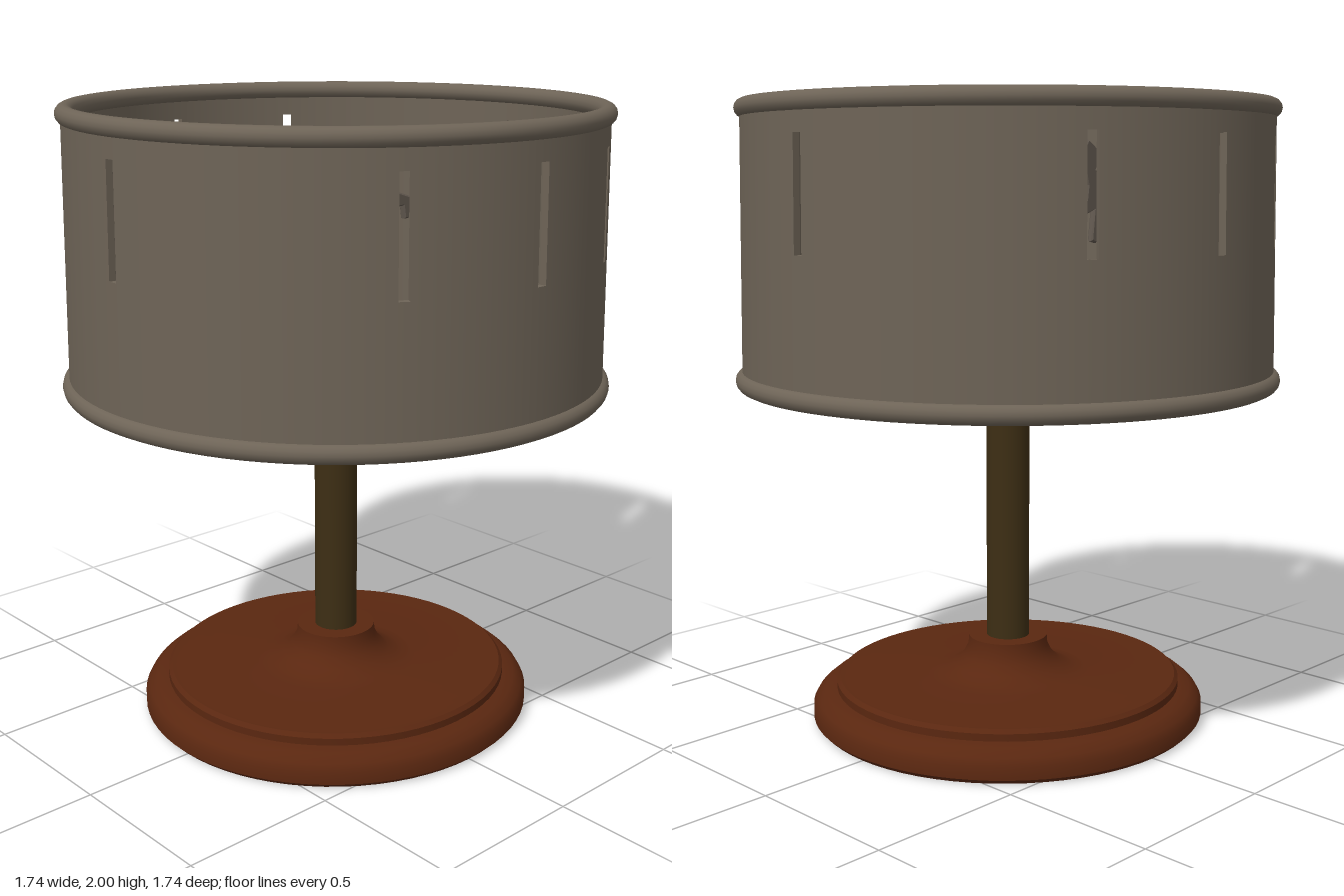
import * as THREE from 'three';
import { toCreasedNormals } from 'three/addons/utils/BufferGeometryUtils.js';

const material = (name, color, side = THREE.FrontSide) => {
  const m = new THREE.MeshStandardMaterial({ color, side });
  m.name = name;
  return m;
};

// Box bent round the y axis: x becomes the angle, z the wall thickness
function bentPanel(a0, a1, y0, y1, radiusAt, thickness) {
  const n = Math.max(1, Math.ceil((a1 - a0) / 0.05));
  const g = new THREE.BoxGeometry(a1 - a0, y1 - y0, thickness, n, 1, 1);
  const p = g.attributes.position, nor = g.attributes.normal;
  const axis = new THREE.Vector3(0, 1, 0), v = new THREE.Vector3();
  for (let i = 0; i < p.count; i++) {
    const a = p.getX(i) + (a0 + a1) / 2;
    const y = p.getY(i) + (y0 + y1) / 2;
    const r = radiusAt(y) - thickness / 2 + p.getZ(i);
    p.setXYZ(i, Math.sin(a) * r, y, Math.cos(a) * r);
    v.fromBufferAttribute(nor, i).applyAxisAngle(axis, a);
    nor.setXYZ(i, v.x, v.y, v.z);
  }
  return g;
}

// Animal outlines in a unit box, facing +x
const WALKING = [
  [0, 0.42], [0.05, 0.62], [0.16, 0.74], [0.32, 0.72], [0.48, 0.71], [0.58, 0.84], [0.7, 0.94], [0.8, 1],
  [0.85, 0.92], [0.93, 0.82], [1, 0.7], [0.95, 0.64], [0.84, 0.7], [0.8, 0.56], [0.82, 0.42], [0.95, 0.3],
  [0.9, 0.08], [0.84, 0.1], [0.84, 0.27], [0.7, 0.32], [0.74, 0.02], [0.66, 0], [0.6, 0.34], [0.42, 0.36],
  [0.3, 0.34], [0.22, 0.22], [0.3, 0.03], [0.2, 0.01], [0.12, 0.22], [0.14, 0.42], [0.09, 0.52], [0.06, 0.35],
];
const REARING = [
  [0, 0.42], [0.1, 0.4], [0.2, 0.47], [0.3, 0.5], [0.32, 0.68], [0.26, 0.78], [0.34, 0.94], [0.5, 1],
  [0.68, 0.97], [0.82, 0.88], [0.92, 0.74], [0.84, 0.7], [0.74, 0.74], [0.72, 0.6], [0.8, 0.46], [0.98, 0.4],
  [0.96, 0.2], [0.9, 0.2], [0.88, 0.32], [0.72, 0.32], [0.7, 0.18], [0.8, 0.02], [0.7, 0], [0.6, 0.16],
  [0.56, 0.3], [0.44, 0.22], [0.46, 0.03], [0.36, 0.02], [0.32, 0.2], [0.34, 0.38], [0.2, 0.36], [0.08, 0.32],
];

function cutout(points, x0, x1, flip) {
  const pts = points.map(([u, v]) => new THREE.Vector2(
    x0 + (flip ? 1 - u : u) * (x1 - x0), 1.54 + v * 0.35));
  const g = new THREE.ExtrudeGeometry(new THREE.Shape(pts), {
    depth: 0.012, bevelEnabled: true, bevelThickness: 0.006, bevelSize: 0.005, bevelOffset: -0.005, bevelSegments: 1,
  });
  return g.translate(0, 0, -0.006);
}

export function createModel() {
  const group = new THREE.Group();
  const tin = material('aged tin', 0x6e6457);
  const card = material('tan floor', 0x8e806c);
  const figure = material('figure grey', 0x625950);
  const brass = material('dark brass', 0x3d2e14);
  const wood = material('red brown wood', 0x5a2710);
  const add = (name, geometry, mat, parent = group) => {
    const m = new THREE.Mesh(geometry, mat);
    m.name = name;
    parent.add(m);
    return m;
  };
  const lathe = (pts, angle = 0.6) => toCreasedNormals(
    new THREE.LatheGeometry(pts.map(([x, y]) => new THREE.Vector2(x, y)), 72), angle);

  // Turned base with a flared collar
  const base = add('base', lathe([
    [0, 0], [0.635, 0], [0.65, 0.015], [0.65, 0.055], [0.637, 0.078], [0.61, 0.1], [0.572, 0.105],
    [0.572, 0.128], [0.56, 0.14], [0.27, 0.14], [0.225, 0.148], [0.18, 0.168], [0.15, 0.196],
    [0.133, 0.23], [0.13, 0.262], [0, 0.262],
  ]), wood);
  base.scale.z = 0.98;

  // Pole and the flange beneath the drum
  add('pole', new THREE.CylinderGeometry(0.07, 0.07, 0.87, 40).translate(0, 0.685, 0), brass);
  add('flange', new THREE.CylinderGeometry(0.14, 0.14, 0.008, 40).translate(0, 1.102, 0), brass);

  // Drum floor: tin underside, tan top
  const drum = new THREE.Group();
  drum.name = 'drum';
  group.add(drum);
  add('drumUnderside', new THREE.CylinderGeometry(0.84, 0.84, 0.02, 96).translate(0, 1.115, 0), tin, drum);
  add('drumFloor', new THREE.CylinderGeometry(0.822, 0.822, 0.008, 96).translate(0, 1.13, 0), card, drum);

  // Drum wall, pierced by eight viewing slots
  const radiusAt = (y) => 0.847 - (y - 1.13) * 0.015;
  const slots = [0, 30, 90, 150, 180, 210, 270, 330].map((d) => THREE.MathUtils.degToRad(d));
  const half = 0.02;
  slots.forEach((a, i) => {
    const next = i + 1 < slots.length ? slots[i + 1] : Math.PI * 2;
    add('wallPanel', bentPanel(a + half, next - half, 1.12, 1.98, radiusAt, 0.022), tin, drum);
    add('wallBelowSlot', bentPanel(a - half, a + half, 1.12, 1.545, radiusAt, 0.022), tin, drum);
    add('wallAboveSlot', bentPanel(a - half, a + half, 1.885, 1.98, radiusAt, 0.022), tin, drum);
  });

  // Rolled rims
  const rim = (name, radius, y, tube, squash) => {
    const g = new THREE.TorusGeometry(radius, tube, 14, 96).rotateX(Math.PI / 2);
    add(name, g.scale(1, squash, 1).translate(0, y, 0), tin, drum);
  };
  rim('topRim', 0.823, 1.971, 0.029, 1);
  rim('bottomRim', 0.838, 1.132, 0.03, 1);

  // Flat animal figures inside the drum
  const figures = new THREE.Group();
  figures.name = 'figures';
  group.add(figures);
  [
    [WALKING, -0.68, -0.34, 0.03, false], [REARING, -0.33, -0.06, 0.03, false],
    [REARING, -0.05, 0.3, 0.03, false], [WALKING, 0.32, 0.63, 0.035, true],
    [WALKING, -0.72, -0.4, -0.025, false], [WALKING, 0.42, 0.71, -0.02, true],
  ].forEach(([outline, x0, x1, z, flip]) => {
    add('animalFigure', cutout(outline, x0, x1, flip), figure, figures).position.z = z;
  });
  return group;
}
